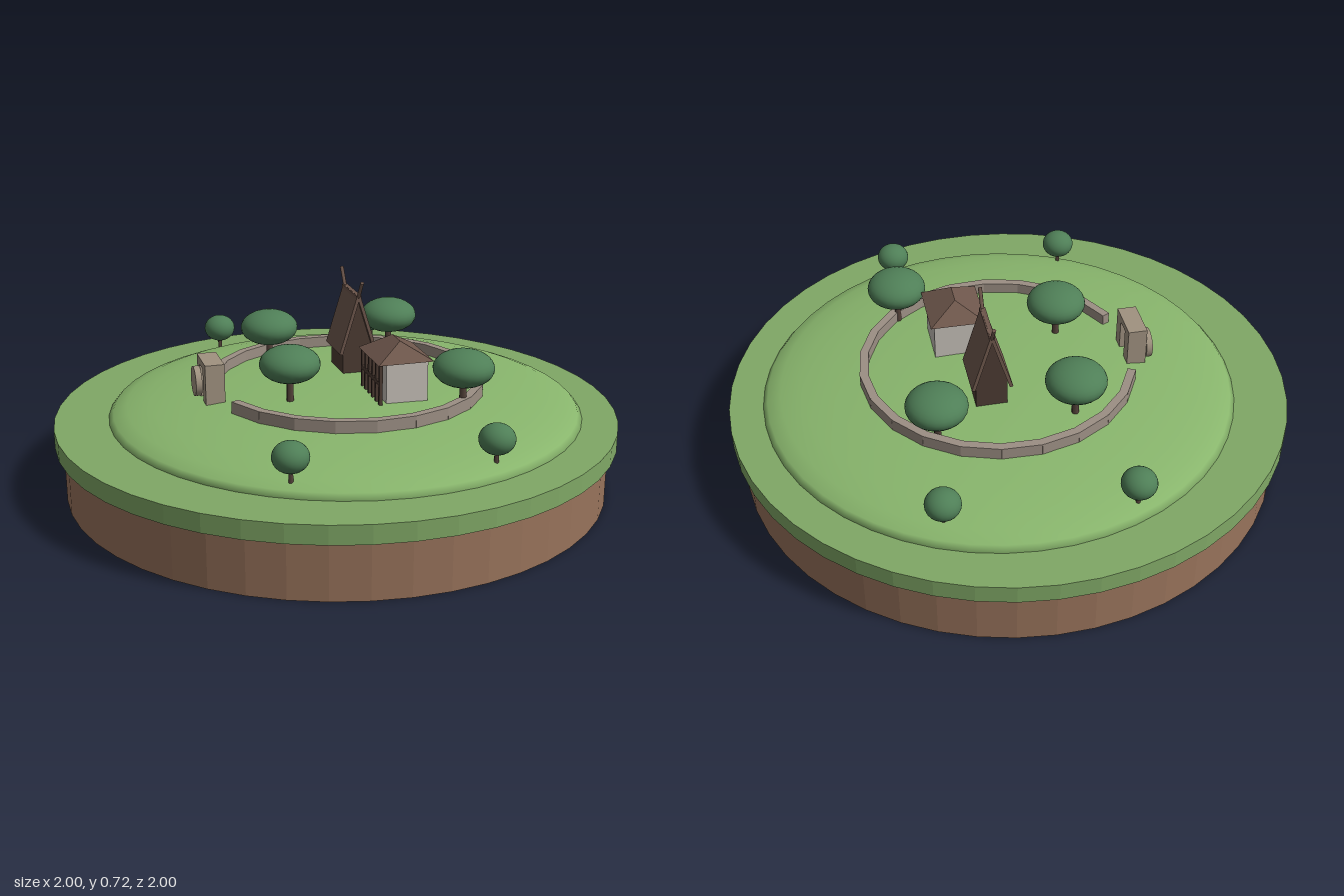
import * as THREE from 'three';

const mat = (name, color, flat = false) => {
  const m = new THREE.MeshStandardMaterial({ color, flatShading: flat });
  m.name = name;
  return m;
};

export function createModel() {
  const earth = mat('earth', 0x98735b, true);
  const turf = mat('turf', 0x80a866, true);
  const grass = mat('grass', 0x88b56c);
  const leaf = mat('leaf', 0x4f7f57);
  const bark = mat('bark', 0x54423a);
  const stone = mat('wallStone', 0x9c8f84);
  const gateStone = mat('gateStone', 0xa09280);
  const roof = mat('roofThatch', 0x6e574c);
  const wood = mat('darkWood', 0x4c3b33);
  const plaster = mat('plaster', 0xc4beb7);

  const model = new THREE.Group();
  const add = (parent, name, geo, m, x = 0, y = 0, z = 0) => {
    const mesh = new THREE.Mesh(geo, m);
    mesh.name = name;
    mesh.position.set(x, y, z);
    parent.add(mesh);
    return mesh;
  };
  const box = (w, h, d) => new THREE.BoxGeometry(w, h, d);
  const TURN = -0.35;
  const site = (name, x, z, turn = TURN) => {
    const g = new THREE.Group();
    g.name = name;
    g.position.set(x, 0, z);
    g.rotation.y = turn;
    model.add(g);
    return g;
  };

  // Island base and hill
  add(model, 'earthBase', new THREE.CylinderGeometry(0.97, 0.97, 0.2, 48), earth, 0, 0.1, 0);
  add(model, 'turfRim', new THREE.CylinderGeometry(1, 1, 0.065, 48), turf, 0, 0.2325, 0);
  const hill = add(model, 'hill',
    new THREE.SphereGeometry(0.845, 48, 8, 0, Math.PI * 2, 0, Math.PI / 2), grass, 0.008, 0.265, -0.035);
  hill.scale.y = 0.1 / 0.845;

  // Trees: x, z, large or small
  const trees = [
    [-0.225, -0.415, 1], [0.445, -0.21, 1], [-0.355, 0.05, 1], [0.06, 0.24, 1],
    [-0.535, -0.57, 0], [-0.78, 0.01, 0], [0.79, -0.05, 0], [0.53, 0.56, 0],
  ];
  for (const [x, z, big] of trees) {
    const t = site('tree', x, z, 0);
    const r = big ? 0.106 : 0.06, ry = big ? 0.064 : 0.051;
    const cy = big ? 0.492 : 0.38, foot = big ? 0.33 : 0.28;
    add(t, 'canopy', new THREE.SphereGeometry(r, 24, 16), leaf, 0, cy, 0).scale.y = ry / r;
    const tr = big ? 0.013 : 0.008;
    add(t, 'trunk', new THREE.CylinderGeometry(tr * 0.85, tr, cy - foot, 8), bark, 0, (cy + foot) / 2, 0);
  }

  // Ring wall with an opening at the gate
  const ring = site('ringWall', 0.008, -0.04, 0);
  const from = 1.546, to = -4.014, n = 20;
  for (let i = 0; i < n; i++) {
    const a = from + (to - from) * (i + 0.5) / n;
    const b = add(ring, 'wallSegment', box(0.03, 0.06, 0.136), stone,
      Math.cos(a) * 0.474, 0.358, Math.sin(a) * 0.474);
    b.rotation.y = -a;
  }

  // Tall shrine with a steep roof and leaning ridge horns
  const shrine = site('shrine', -0.108, -0.15);
  const gable = new THREE.Shape([[-0.055, 0.33], [0.055, 0.33], [0.055, 0.46], [0, 0.635], [-0.055, 0.46]]
    .map(p => new THREE.Vector2(...p)));
  const body = new THREE.ExtrudeGeometry(gable, { depth: 0.15, bevelEnabled: false });
  body.translate(0, 0, -0.075).rotateY(Math.PI / 2);
  add(shrine, 'shrineBody', body, wood);
  const run = 0.066, rise = 0.215, slope = Math.hypot(run, rise);
  for (const s of [1, -1]) {
    const slab = add(shrine, 'shrineRoof', box(0.18, slope, 0.012), roof, 0, 0.655 - rise / 2, s * run / 2);
    slab.rotation.x = -s * Math.atan2(run, rise);
    const horn = add(shrine, 'ridgeHorn', new THREE.CylinderGeometry(0.007, 0.007, 0.075, 6), roof,
      s * 0.106, 0.682, 0);
    horn.rotation.z = -s * 0.6;
  }
  add(shrine, 'ridgeBeam', box(0.18, 0.012, 0.02), roof, 0, 0.65, 0);

  // Plastered house with a hipped roof and a post screen
  const house = site('house', 0.215, -0.1);
  add(house, 'houseWalls', box(0.19, 0.17, 0.15), plaster, 0, 0.42, -0.01);
  let hip = box(0.232, 0.06, 0.2);
  const p = hip.attributes.position;
  for (let i = 0; i < p.count; i++) {
    if (p.getY(i) > 0) p.setXYZ(i, p.getX(i) * 0.36, p.getY(i), 0);
  }
  hip = hip.toNonIndexed();
  hip.computeVertexNormals();
  add(house, 'hippedRoof', hip, roof, 0, 0.533, 0);
  for (let i = 0; i < 6; i++) {
    add(house, 'screenPost', box(0.012, 0.16, 0.012), wood, -0.1 + i * 0.04, 0.425, 0.088);
  }
  add(house, 'screenRail', box(0.212, 0.012, 0.012), wood, 0, 0.435, 0.088);

  // Stone gate with a round slab leaning beside the opening
  const gate = site('stoneGate', -0.165, 0.42);
  for (const s of [1, -1]) {
    add(gate, 'gatePillar', box(0.048, 0.14, 0.068), gateStone, s * 0.051, 0.395, 0);
  }
  add(gate, 'gateLintel', box(0.15, 0.025, 0.068), gateStone, 0, 0.473, 0);
  const disc = add(gate, 'roundSlab', new THREE.CylinderGeometry(0.053, 0.053, 0.022, 24), gateStone,
    -0.03, 0.4, 0.046);
  disc.rotation.x = Math.PI / 2;

  return model;
}
